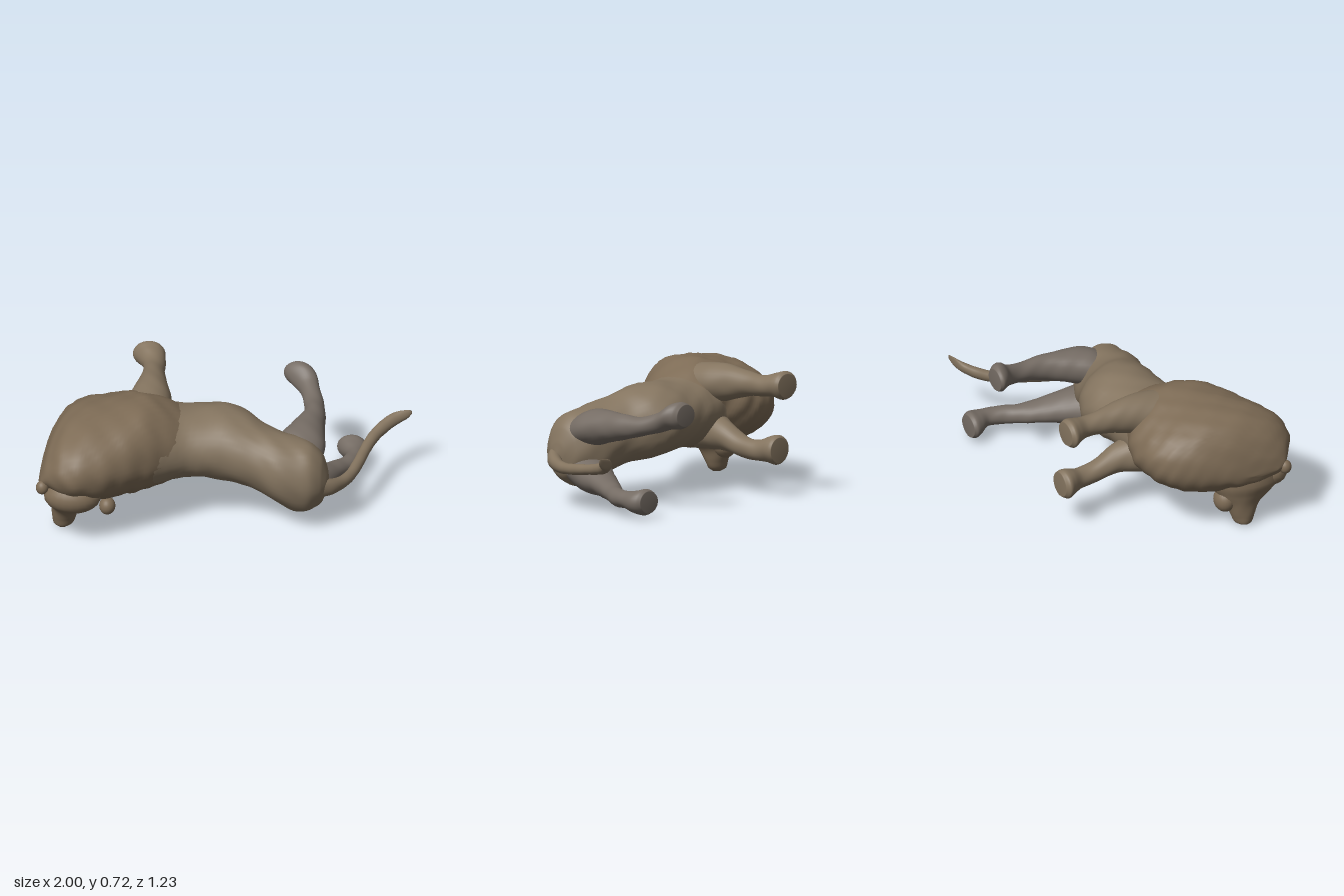
import * as THREE from 'three';

const fur = new THREE.MeshStandardMaterial({ color: 0x84745f });
const maneFur = new THREE.MeshStandardMaterial({ color: 0x7d6b55 });
const pawFur = new THREE.MeshStandardMaterial({ color: 0x756c64 });

// Smooth skin through elliptical sections lying across one axis (0 = x, 1 = y, 2 = z).
// Section: [x, y, z, radius along next axis, radius along the one after]; listed in rising order.
function loft(name, axis, sections, material, bump = 0, sides = 32, steps = 6) {
  const u = (axis + 1) % 3, v = (axis + 2) % 3;
  const centres = new THREE.CatmullRomCurve3(
    sections.map(s => new THREE.Vector3(s[0], s[1], s[2])), false, 'centripetal');
  const radii = new THREE.CatmullRomCurve3(
    sections.map(s => new THREE.Vector3(s[3], s[4], 0)), false, 'catmullrom', 0.5);
  const rows = (sections.length - 1) * steps;
  const pos = [], index = [];
  for (let i = 0; i <= rows; i++) {
    const c = centres.getPoint(i / rows).toArray();
    const r = radii.getPoint(i / rows);
    for (let j = 0; j < sides; j++) {
      const a = j / sides * Math.PI * 2;
      const p = c.slice();
      p[u] += Math.cos(a) * Math.max(r.x, 0.003);
      p[v] += Math.sin(a) * Math.max(r.y, 0.003);
      // gentle lumps of clay-like fur
      const n = Math.sin(p[0] * 31 + p[1] * 17) * Math.sin(p[2] * 29 + p[1] * 23)
        + 0.5 * Math.sin(p[0] * 53 - p[2] * 47 + p[1] * 39);
      p[u] += Math.cos(a) * n * bump;
      p[v] += Math.sin(a) * n * bump;
      pos.push(...p);
    }
  }
  for (let i = 0; i < rows; i++) {
    for (let j = 0; j < sides; j++) {
      const a = i * sides + j, b = i * sides + (j + 1) % sides;
      index.push(a, b, a + sides, b, b + sides, a + sides);
    }
  }
  // end caps
  const last = rows * sides, tipA = pos.length / 3, tipB = tipA + 1;
  pos.push(...sections[0].slice(0, 3), ...sections[sections.length - 1].slice(0, 3));
  for (let j = 0; j < sides; j++) {
    const k = (j + 1) % sides;
    index.push(tipA, k, j, tipB, last + j, last + k);
  }
  const g = new THREE.BufferGeometry();
  g.setAttribute('position', new THREE.Float32BufferAttribute(pos, 3));
  g.setIndex(index);
  g.computeVertexNormals();
  const mesh = new THREE.Mesh(g, material);
  mesh.name = name;
  return mesh;
}

function blob(name, x, y, z, rx, ry, rz, material) {
  const mesh = new THREE.Mesh(new THREE.SphereGeometry(1, 24, 16), material);
  mesh.position.set(x, y, z);
  mesh.scale.set(rx, ry, rz);
  mesh.name = name;
  return mesh;
}

export function createModel() {
  const model = new THREE.Group();
  model.name = 'lyingLion';

  // trunk from chest to rump
  model.add(loft('body', 0, [
    [-0.55, 0.45, 0.12, 0.2, 0.3],
    [-0.4, 0.44, 0.1, 0.22, 0.3],
    [-0.2, 0.43, 0.025, 0.19, 0.25],
    [0, 0.42, 0.005, 0.205, 0.245],
    [0.12, 0.4, 0.03, 0.2, 0.23],
    [0.22, 0.37, 0.08, 0.19, 0.2],
    [0.32, 0.335, 0.115, 0.2, 0.195],
    [0.42, 0.3, 0.125, 0.215, 0.185],
    [0.5, 0.295, 0.135, 0.195, 0.16],
    [0.56, 0.29, 0.14, 0.14, 0.11],
    [0.59, 0.285, 0.15, 0.06, 0.05],
    [0.6, 0.28, 0.15, 0.004, 0.004],
  ], fur, 0.003, 40));

  // heavy mane around neck and shoulders
  model.add(loft('mane', 0, [
    [-0.99, 0.36, 0.36, 0.01, 0.08],
    [-0.975, 0.38, 0.32, 0.07, 0.18],
    [-0.93, 0.42, 0.26, 0.14, 0.28],
    [-0.86, 0.44, 0.22, 0.2, 0.37],
    [-0.76, 0.445, 0.195, 0.235, 0.415],
    [-0.64, 0.445, 0.165, 0.25, 0.41],
    [-0.53, 0.455, 0.135, 0.255, 0.375],
    [-0.42, 0.46, 0.115, 0.255, 0.315],
    [-0.32, 0.45, 0.08, 0.225, 0.27],
    [-0.2, 0.43, 0.04, 0.17, 0.21],
  ], maneFur, 0.005, 48));

  // head turned to the side, muzzle reaching the ground
  const head = new THREE.Group();
  head.name = 'head';
  head.add(loft('muzzle', 1, [
    [-0.87, 0.002, 0.29, 0.025, 0.025],
    [-0.868, 0.02, 0.285, 0.05, 0.052],
    [-0.86, 0.07, 0.285, 0.07, 0.068],
    [-0.85, 0.14, 0.295, 0.105, 0.083],
    [-0.82, 0.2, 0.32, 0.17, 0.13],
    [-0.8, 0.27, 0.34, 0.22, 0.17],
    [-0.78, 0.4, 0.34, 0.22, 0.17],
  ], maneFur, 0.002));
  head.add(blob('brow', -0.8, 0.29, 0.46, 0.16, 0.1, 0.12, maneFur));
  head.add(blob('ear', -0.965, 0.35, 0.5, 0.035, 0.04, 0.035, maneFur));
  head.add(blob('ear', -0.61, 0.21, 0.42, 0.045, 0.05, 0.05, maneFur));
  head.add(blob('chin', -0.83, 0.16, 0.19, 0.07, 0.07, 0.06, maneFur));
  model.add(head);

  // legs, each from paw sole to shoulder or hip
  const legs = {
    upperFrontLeg: [
      [-0.465, 0.62, -0.615, 0.075, 0.065],
      [-0.47, 0.62, -0.59, 0.09, 0.08],
      [-0.455, 0.62, -0.55, 0.08, 0.07],
      [-0.43, 0.61, -0.48, 0.062, 0.06],
      [-0.425, 0.61, -0.38, 0.063, 0.066],
      [-0.42, 0.605, -0.25, 0.085, 0.095],
      [-0.42, 0.59, -0.12, 0.12, 0.115],
      [-0.43, 0.57, 0.03, 0.14, 0.12],
    ],
    lowerFrontLeg: [
      [-0.4, 0.265, -0.615, 0.07, 0.07],
      [-0.41, 0.265, -0.59, 0.085, 0.083],
      [-0.4, 0.265, -0.55, 0.075, 0.075],
      [-0.375, 0.255, -0.48, 0.058, 0.058],
      [-0.37, 0.265, -0.38, 0.058, 0.06],
      [-0.37, 0.31, -0.25, 0.075, 0.08],
      [-0.4, 0.33, -0.12, 0.11, 0.11],
      [-0.43, 0.33, 0.03, 0.13, 0.12],
    ],
    upperHindLeg: [
      [0.355, 0.545, -0.605, 0.07, 0.06],
      [0.365, 0.545, -0.58, 0.085, 0.075],
      [0.39, 0.54, -0.54, 0.08, 0.07],
      [0.43, 0.505, -0.48, 0.058, 0.058],
      [0.465, 0.475, -0.38, 0.056, 0.055],
      [0.48, 0.46, -0.26, 0.062, 0.07],
      [0.455, 0.445, -0.12, 0.095, 0.09],
      [0.425, 0.42, 0.03, 0.14, 0.105],
      [0.42, 0.39, 0.15, 0.12, 0.08],
    ],
    lowerHindLeg: [
      [0.655, 0.095, -0.605, 0.07, 0.06],
      [0.66, 0.095, -0.58, 0.085, 0.073],
      [0.675, 0.095, -0.54, 0.08, 0.065],
      [0.69, 0.1, -0.48, 0.055, 0.05],
      [0.67, 0.1, -0.39, 0.058, 0.05],
      [0.6, 0.115, -0.28, 0.075, 0.052],
      [0.53, 0.14, -0.15, 0.1, 0.072],
      [0.46, 0.165, 0.0, 0.14, 0.1],
      [0.43, 0.2, 0.14, 0.125, 0.09],
    ],
  };
  for (const [name, sections] of Object.entries(legs)) {
    model.add(loft(name, 2, sections, name.includes('Front') ? fur : pawFur, 0.0015));
  }

  // tapering tail with a thicker tuft
  model.add(loft('tail', 2, [
    [0.985, 0.35, -0.54, 0.012, 0.015],
    [0.93, 0.333, -0.525, 0.045, 0.03],
    [0.87, 0.31, -0.48, 0.042, 0.034],
    [0.81, 0.283, -0.4, 0.036, 0.034],
    [0.765, 0.258, -0.28, 0.032, 0.03],
    [0.735, 0.24, -0.14, 0.031, 0.03],
    [0.695, 0.228, 0, 0.034, 0.032],
    [0.64, 0.232, 0.1, 0.045, 0.04],
    [0.57, 0.25, 0.18, 0.065, 0.055],
    [0.5, 0.27, 0.23, 0.06, 0.06],
  ], fur, 0.001, 20));

  return model;
}
